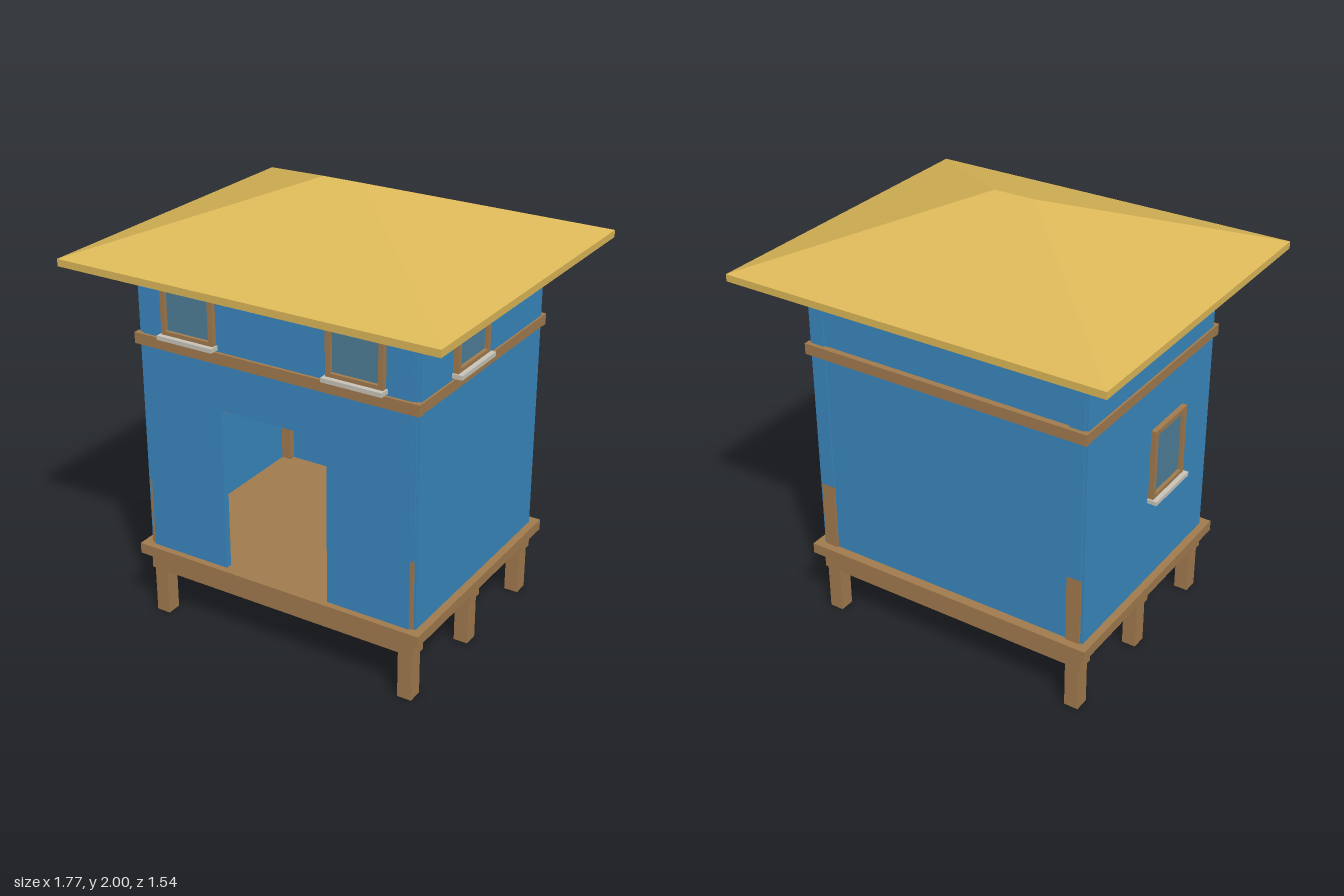
import * as THREE from 'three';
import { ConvexGeometry } from 'three/addons/geometries/ConvexGeometry.js';

const material = (name, color) => {
  const m = new THREE.MeshStandardMaterial({ color });
  m.name = name;
  return m;
};

export function createModel() {
  const model = new THREE.Group();
  model.name = 'stiltHouse';
  const blue = material('bluePaint', 0x3a88bf);
  const wood = material('wood', 0xa27b4e);
  const thatch = material('yellowRoof', 0xdcb858);
  const glass = material('windowGlass', 0x4e7f98);
  const stone = material('paleSill', 0xc9c5b9);

  // Box given by its minimum and maximum corners
  const box = (parent, name, mat, [x0, y0, z0], [x1, y1, z1]) => {
    const g = new THREE.BoxGeometry(x1 - x0, y1 - y0, z1 - z0);
    g.translate((x0 + x1) / 2, (y0 + y1) / 2, (z0 + z1) / 2);
    const mesh = new THREE.Mesh(g, mat);
    mesh.name = name;
    parent.add(mesh);
    return mesh;
  };

  // Platform, floor beams and stilts
  box(model, 'platform', wood, [-0.712, 0.3, -0.57], [0.712, 0.35, 0.57]);
  for (const z of [-0.498, 0, 0.498]) {
    box(model, 'floorBeam', wood, [-0.677, 0.22, z - 0.038], [0.677, 0.3, z + 0.038]);
    for (const x of [-0.632, 0.632]) {
      box(model, 'stilt', wood, [x - 0.033, 0, z - 0.035], [x + 0.033, 0.23, z + 0.035]);
    }
  }

  // Corner posts: bare wood below, painted above
  for (const x of [-0.632, 0.632]) {
    for (const z of [-0.5, 0.5]) {
      box(model, 'cornerPostBase', wood, [x - 0.033, 0.35, z - 0.035], [x + 0.033, 0.67, z + 0.035]);
      box(model, 'cornerPost', blue, [x - 0.033, 0.67, z - 0.035], [x + 0.033, 1.69, z + 0.035]);
    }
  }

  // Front wall with the doorway
  const front = new THREE.Shape();
  [[-0.65, 0.35], [-0.258, 0.35], [-0.258, 1.107], [0.258, 1.107], [0.258, 0.35],
    [0.65, 0.35], [0.65, 1.69], [-0.65, 1.69]]
    .forEach(([x, y], i) => (i ? front.lineTo(x, y) : front.moveTo(x, y)));
  const frontWall = new THREE.Mesh(
    new THREE.ExtrudeGeometry(front, { depth: 0.03, bevelEnabled: false }), blue);
  frontWall.position.z = 0.51;
  frontWall.name = 'frontWall';
  model.add(frontWall);

  // Back and side walls
  box(model, 'backWall', blue, [-0.61, 0.35, -0.526], [0.61, 1.69, -0.496]);
  for (const s of [-1, 1]) {
    const a = s < 0 ? -0.677 : 0.648;
    box(model, 'sideWall', blue, [a, 0.35, -0.526], [a + 0.029, 1.69, 0.526]);
  }

  // Belt course between the storeys
  for (const s of [-1, 1]) {
    const z = s * 0.539;
    box(model, 'beltBoard', wood, [-0.687, 1.32, z - 0.015], [0.687, 1.37, z + 0.015]);
    const x = s * 0.672;
    box(model, 'beltBoard', wood, [x - 0.014, 1.322, -0.53], [x + 0.014, 1.368, 0.53]);
  }

  // Window facing +z, with its wall's outer face at local z = 0
  const addWindow = (x, z, turn, w, y0, y1) => {
    const win = new THREE.Group();
    win.name = 'window';
    const h = w / 2, b = 0.022, back = -0.036, out = 0.024;
    for (const s of [-1, 1]) {
      const c = s * (h - b / 2);
      box(win, 'frameSide', wood, [c - b / 2, y0, back], [c + b / 2, y1, out]);
    }
    box(win, 'frameTop', wood, [-h + b, y1 - b, back], [h - b, y1, out]);
    box(win, 'frameBottom', wood, [-h + b, y0, back], [h - b, y0 + b, out]);
    box(win, 'pane', glass, [-h + b, y0 + b, -0.032], [h - b, y1 - b, 0.008]);
    box(win, 'sill', stone, [-h - 0.008, y0 - 0.014, -0.005], [h + 0.008, y0 + 0.005, 0.046]);
    win.position.set(x, 0, z);
    win.rotation.y = turn;
    model.add(win);
  };
  addWindow(-0.403, 0.54, 0, 0.262, 1.392, 1.682);
  addWindow(0.4, 0.54, 0, 0.262, 1.392, 1.682);
  addWindow(0.677, 0.138, Math.PI / 2, 0.272, 1.392, 1.682);
  addWindow(-0.677, 0.13, -Math.PI / 2, 0.272, 0.775, 1.112);

  // Hipped roof with a short ridge and a square eave edge
  const points = [new THREE.Vector3(-0.095, 2, 0), new THREE.Vector3(0.095, 2, 0)];
  for (const x of [-0.887, 0.887])
    for (const z of [-0.77, 0.77])
      for (const y of [1.69, 1.722]) points.push(new THREE.Vector3(x, y, z));
  const roof = new THREE.Mesh(new ConvexGeometry(points), thatch);
  roof.name = 'hippedRoof';
  model.add(roof);

  return model;
}
